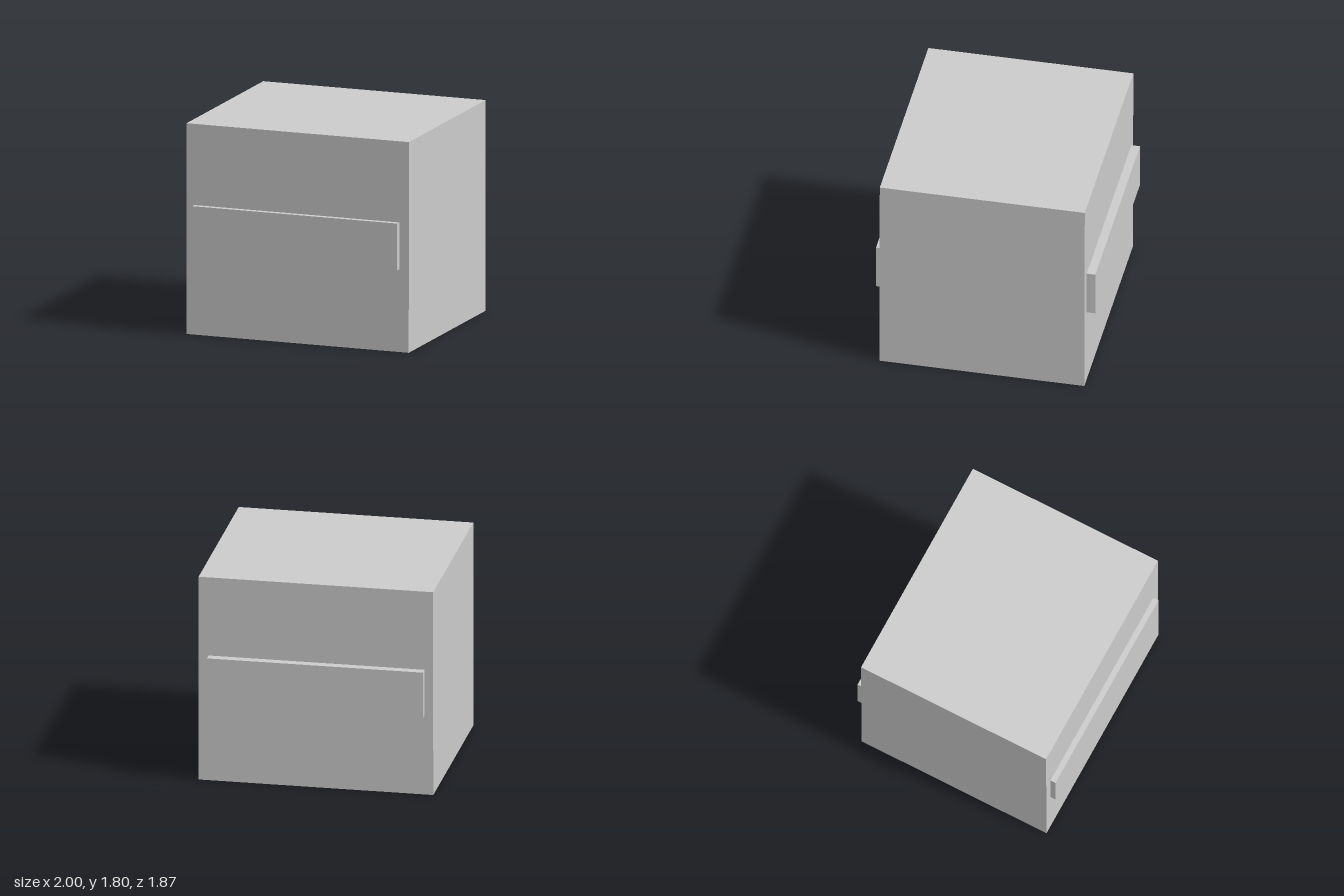
import * as THREE from 'three';

export function createModel() {
  const group = new THREE.Group();
  const material = new THREE.MeshStandardMaterial({ color: 0xcccccc, flatShading: true });

  // Box given by its limits on each axis
  function addBox(name, [x0, x1], [y0, y1], [z0, z1]) {
    const geometry = new THREE.BoxGeometry(x1 - x0, y1 - y0, z1 - z0);
    geometry.translate((x0 + x1) / 2, (y0 + y1) / 2, (z0 + z1) / 2);
    const mesh = new THREE.Mesh(geometry, material);
    mesh.name = name;
    group.add(mesh);
    return mesh;
  }

  // Main block, leaning back very slightly towards the top
  const height = 1.805;
  const body = addBox('body', [-1, 1], [0, height], [-0.861, 0.891]);
  const position = body.geometry.attributes.position;
  for (let i = 0; i < position.count; i++) {
    position.setZ(i, position.getZ(i) - 0.004 * position.getY(i) / height);
  }
  body.geometry.computeVertexNormals();

  // Raised horizontal bars on the front and back faces
  const barX = [-0.927, 0.915];
  const barY = [0.708, 1.11];
  addBox('frontBar', barX, barY, [0.84, 0.937]);
  addBox('backBar', barX, barY, [-0.937, -0.82]);

  return group;
}
